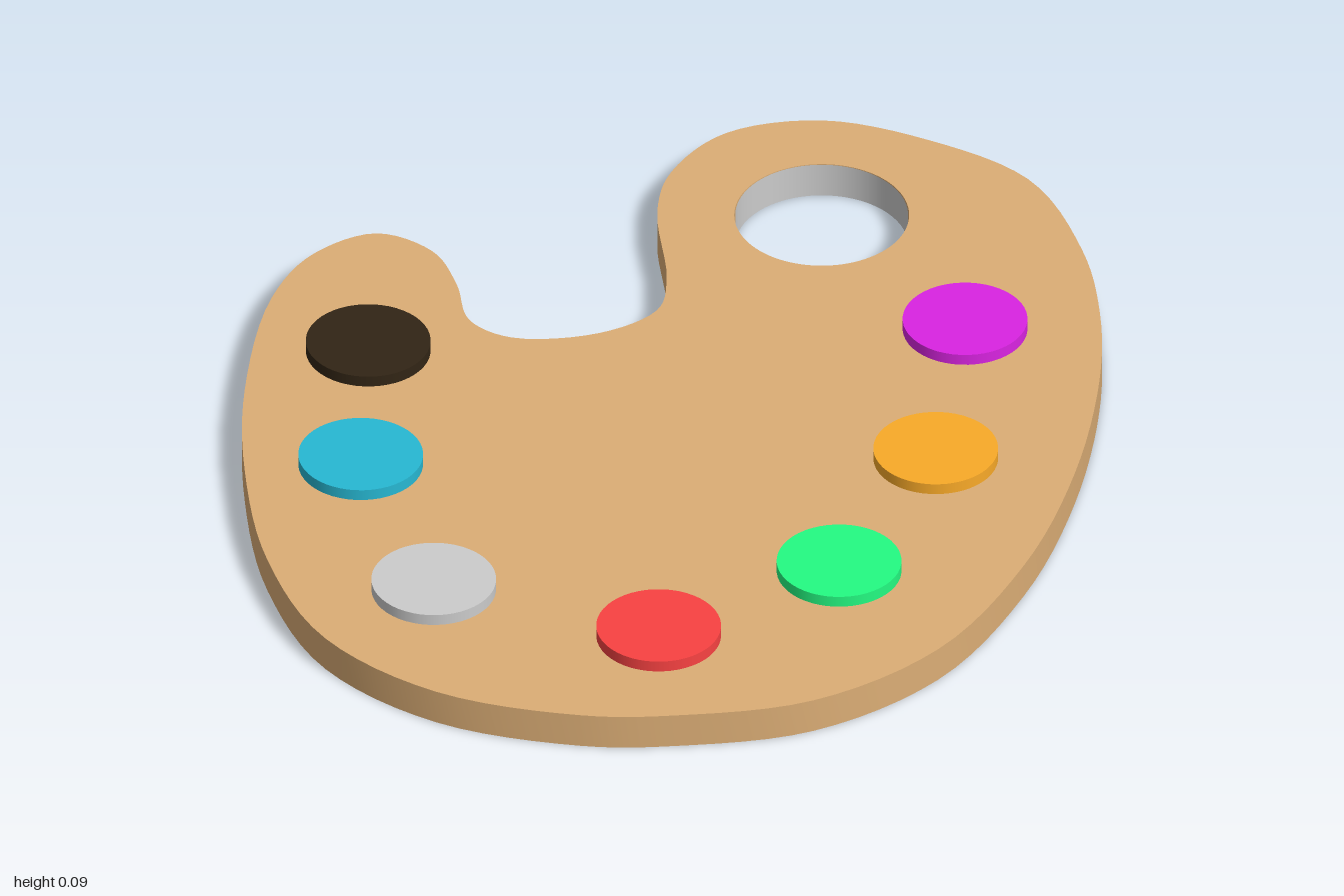
import * as THREE from 'three';
import { toCreasedNormals } from 'three/addons/utils/BufferGeometryUtils.js';

const THICKNESS = 0.072;
const PAINT_TOP = 0.095;
const HOLE = { x: 0.243, z: -0.688, r: 0.168 };

// Board outline as [x, z], joined by a smooth closed curve
const OUTLINE = [
  [0.22, -1], [0.43, -0.95], [0.63, -0.835], [0.75, -0.61], [0.8, -0.4], [0.815, -0.18],
  [0.79, 0.13], [0.715, 0.44], [0.57, 0.73], [0.345, 0.915], [0.08, 0.985], [-0.1, 0.997],
  [-0.38, 0.94], [-0.605, 0.78], [-0.735, 0.53], [-0.8, 0.24], [-0.82, -0.03], [-0.79, -0.34],
  [-0.72, -0.49], [-0.605, -0.565], [-0.495, -0.515], [-0.44, -0.41], [-0.405, -0.29],
  [-0.32, -0.24], [-0.155, -0.267], [-0.05, -0.35], [-0.038, -0.45], [-0.073, -0.68],
  [-0.055, -0.81], [0.04, -0.945],
];

// Paint dabs: name, x, z, color
const PAINTS = [
  ['purplePaint', 0.545, -0.333, 0xda24e2],
  ['orangePaint', 0.52, 0.098, 0xf9aa28],
  ['greenPaint', 0.362, 0.483, 0x24fb82],
  ['redPaint', 0.032, 0.722, 0xf94242],
  ['greyPaint', -0.41, 0.6, 0xcccccc],
  ['bluePaint', -0.58, 0.198, 0x27b8d3],
  ['blackPaint', -0.593, -0.178, 0x322515],
];

function addPart(group, name, geometry, color, side = THREE.FrontSide) {
  const mesh = new THREE.Mesh(geometry, new THREE.MeshStandardMaterial({ color, side }));
  mesh.name = name;
  group.add(mesh);
  return mesh;
}

export function createModel() {
  const group = new THREE.Group();
  group.name = 'paintPalette';

  // Wooden board with a thumb hole
  const curve = new THREE.CatmullRomCurve3(
    OUTLINE.map(([x, z]) => new THREE.Vector3(x, z, 0)), true);
  const shape = new THREE.Shape(
    curve.getPoints(180).slice(0, -1).map((p) => new THREE.Vector2(p.x, p.y)));
  shape.holes.push(new THREE.Path().absarc(HOLE.x, HOLE.z, HOLE.r, 0, Math.PI * 2, true));
  const board = new THREE.ExtrudeGeometry(shape,
    { depth: THICKNESS, bevelEnabled: false, curveSegments: 64 });
  board.rotateX(Math.PI / 2).translate(0, THICKNESS, 0);
  addPart(group, 'board', toCreasedNormals(board, 0.6), 0xdcae76);

  // Grey lining of the thumb hole, seen from inside
  const lining = new THREE.CylinderGeometry(HOLE.r - 0.002, HOLE.r - 0.002, THICKNESS, 64, 1, true);
  addPart(group, 'thumbHoleLining', lining, 0xcccccc, THREE.BackSide)
    .position.set(HOLE.x, THICKNESS / 2, HOLE.z);

  // Round paint dabs resting on the board
  const height = PAINT_TOP - THICKNESS;
  const dab = new THREE.CylinderGeometry(0.12, 0.12, height, 48);
  for (const [name, x, z, color] of PAINTS) {
    addPart(group, name, dab, color).position.set(x, THICKNESS + height / 2, z);
  }
  return group;
}
